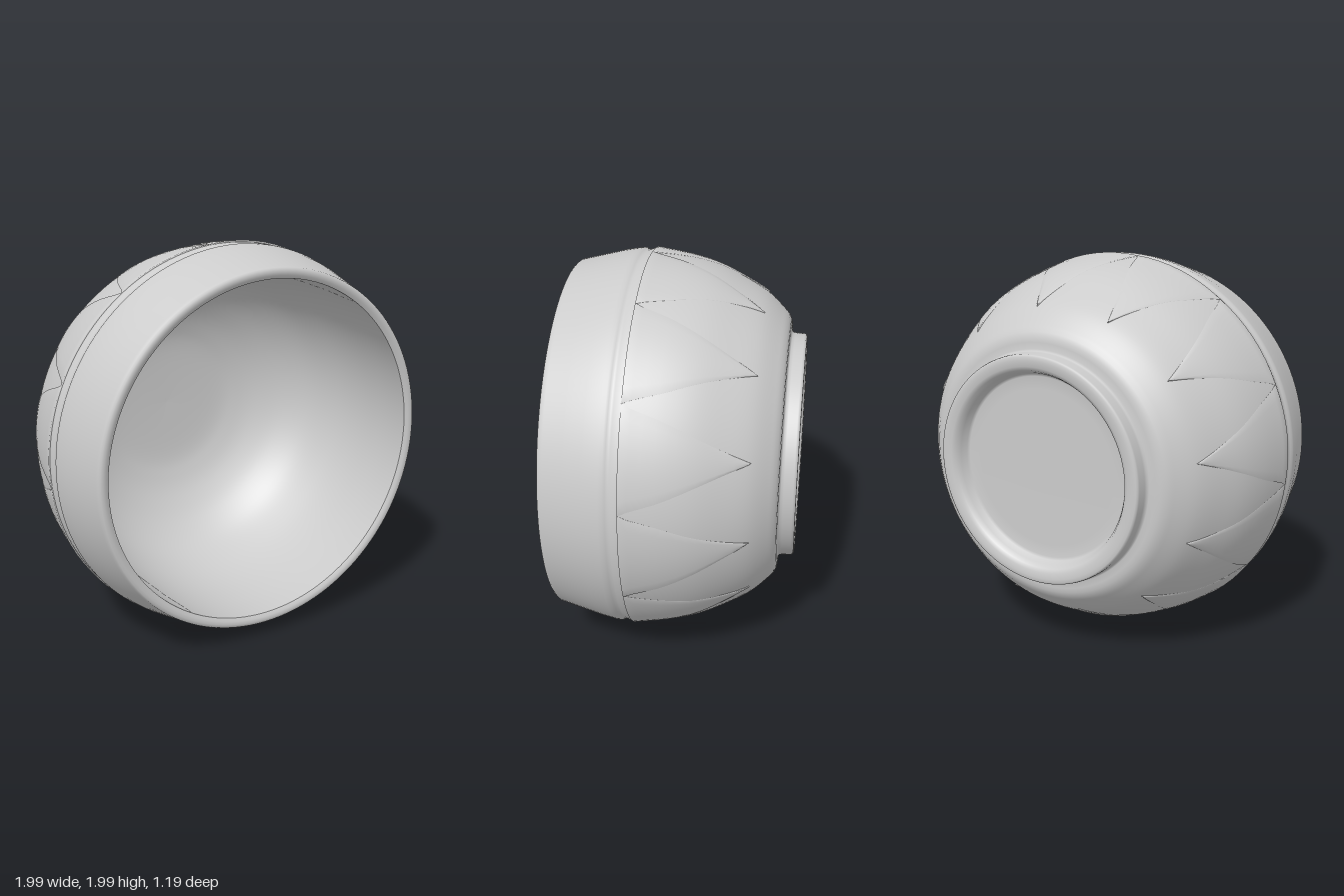
import * as THREE from 'three';

const V = (r, z) => new THREE.Vector2(r, z);
const SEGMENTS = 128;

// Outer wall from the back corner to the widest line: x = radius, y = depth
const wall = new THREE.SplineCurve([
  V(0.7, -0.482), V(0.788, -0.387), V(0.862, -0.26), V(0.925, -0.125), V(0.964, 0.02), V(0.99, 0.2),
]);

// One raised triangular petal: a slightly lifted patch of the wall with closed edges
function petalGeometry(centre) {
  const rows = 14, cols = 10, pos = [], index = [];
  const tipT = 0.2, halfWidth = THREE.MathUtils.degToRad(15);
  for (let i = 0; i <= rows; i++) {
    // the last row repeats the base line, sunk into the wall
    const u = Math.min(i / (rows - 1), 1);
    const p = wall.getPoint(tipT + (1 - tipT) * u);
    // sides stand out at the tip and the base, and lie closer to the wall between
    const sideLift = 0.005 - 0.0035 * Math.sin(Math.PI * u);
    for (let j = 0; j <= cols; j++) {
      // first and last columns repeat the sides, sunk into the wall
      const s = THREE.MathUtils.clamp((j - 1) / (cols - 2), 0, 1) * 2 - 1;
      const sunk = j === 0 || j === cols || i === rows;
      const r = p.x + (sunk ? -0.004 : sideLift + 0.003 * (1 - s * s));
      const a = centre + s * halfWidth * u;
      pos.push(r * Math.sin(a), r * Math.cos(a), p.y);
    }
  }
  const w = cols + 1;
  for (let i = 0; i < rows; i++) {
    for (let j = 0; j < cols; j++) {
      const a = i * w + j, b = a + 1, c = a + w, d = c + 1;
      index.push(a, b, c, b, d, c);
    }
  }
  const g = new THREE.BufferGeometry();
  g.setAttribute('position', new THREE.Float32BufferAttribute(pos, 3));
  g.setIndex(index);
  g.computeVertexNormals();
  return g;
}

export function createModel() {
  const group = new THREE.Group();
  group.name = 'bowl';
  const material = new THREE.MeshStandardMaterial({ color: 0xcccccc, side: THREE.DoubleSide });

  // Revolve a profile about the z axis
  const revolve = (name, points) => {
    const mesh = new THREE.Mesh(new THREE.LatheGeometry(points, SEGMENTS), material);
    mesh.name = name;
    mesh.rotation.x = Math.PI / 2;
    mesh.position.y = 1;
    group.add(mesh);
  };

  revolve('outerShell', [
    // recessed floor and rounded foot ring
    V(0, -0.512), V(0.4, -0.512), V(0.465, -0.514), V(0.478, -0.523), V(0.49, -0.556),
    V(0.505, -0.582), V(0.525, -0.593), V(0.555, -0.596), V(0.573, -0.595), V(0.581, -0.59),
    V(0.584, -0.58), V(0.586, -0.535), V(0.589, -0.521), V(0.598, -0.514),
    // rounded back corner, wall and shallow groove
    V(0.63, -0.513), V(0.655, -0.51), V(0.68, -0.499),
    ...wall.getPoints(28), V(0.99, 0.215), V(0.984, 0.235), V(0.982, 0.245),
    V(0.985, 0.258), V(0.991, 0.27), V(0.99, 0.29), V(0.976, 0.365), V(0.952, 0.46),
    // soft lip
    V(0.925, 0.565), V(0.921, 0.582), V(0.914, 0.591), V(0.9, 0.594), V(0.884, 0.591),
    V(0.868, 0.58),
  ]);

  // Rounded hollow inside
  revolve('innerWall', new THREE.SplineCurve([
    V(0.868, 0.58), V(0.872, 0.4), V(0.864, 0.2), V(0.835, 0.03), V(0.775, -0.14),
    V(0.68, -0.265), V(0.56, -0.355), V(0.44, -0.41), V(0.3, -0.44), V(0, -0.45),
  ]).getPoints(48));

  // Ring of twelve petals on the outside
  for (let k = 0; k < 12; k++) {
    const petal = new THREE.Mesh(petalGeometry(THREE.MathUtils.degToRad(8.5 + 30 * k)), material);
    petal.name = `petal${k + 1}`;
    petal.position.y = 1;
    group.add(petal);
  }
  return group;
}
